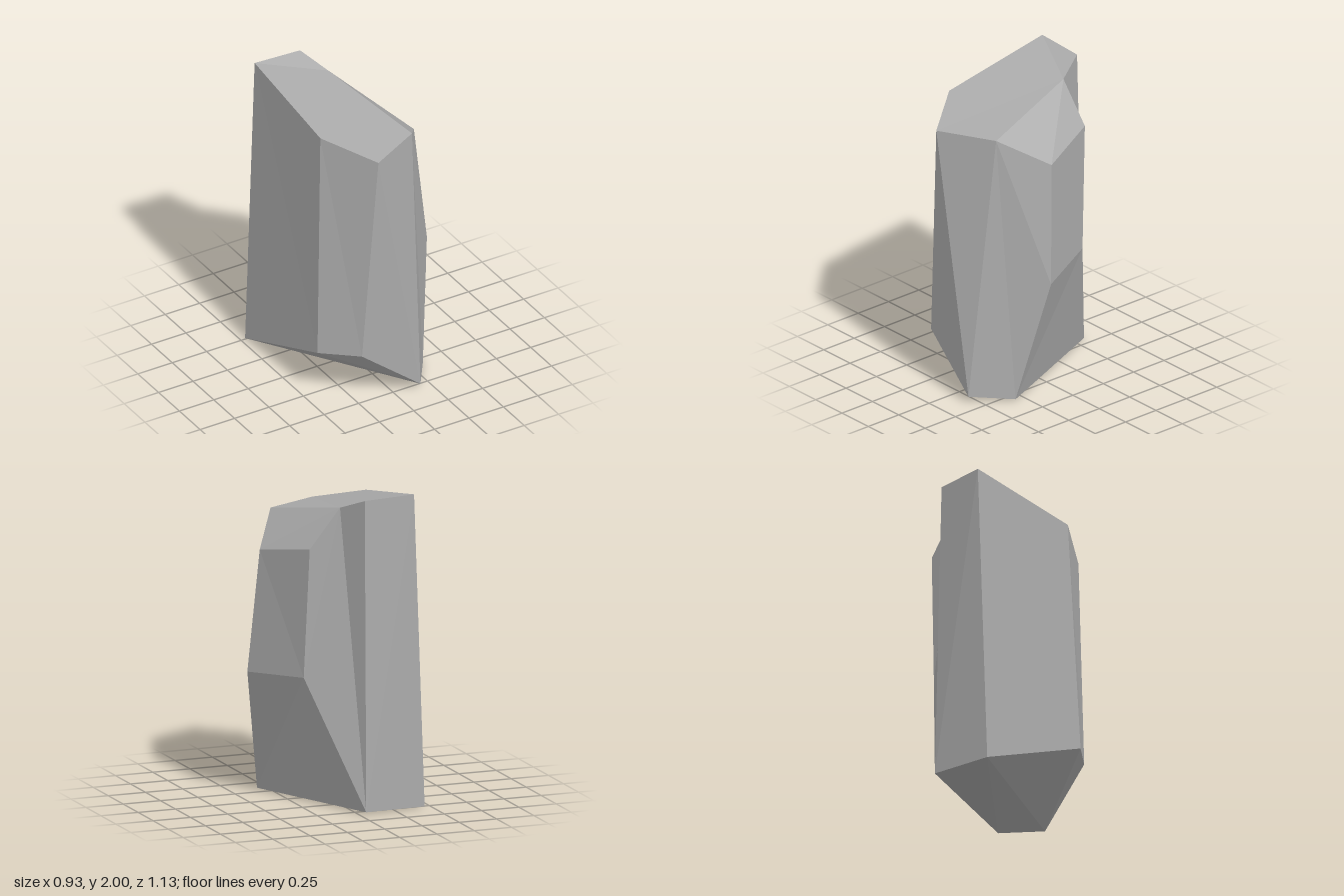
import * as THREE from 'three';

// Corner points of the standing stone
const P = {
  // crown
  a: [-0.39, 2.0, -0.52], b: [-0.06, 1.985, -0.52], c: [0.03, 1.91, -0.33],
  d: [0.21, 1.775, 0.38], e: [-0.145, 1.775, 0.565], f: [-0.38, 1.865, 0.255],
  // right shoulder and bulge
  g: [0.4, 1.585, 0.088], h: [0.233, 1.66, -0.33],
  i: [0.46, 0.8, 0.145], j: [0.257, 0.835, -0.29],
  // foot
  k: [0.325, 0.01, 0.32], l: [0.16, 0.045, 0.565],
  m: [-0.05, 0.01, -0.568], n: [-0.465, 0, -0.51],
  o: [-0.435, 0.33, 0.312], p: [-0.24, 0.355, 0.525],
};

// Facets as corner loops, each fanned from its first corner
const FACETS = {
  topFacet: ['cdefab'],
  shoulderFacet: ['cdgh'],
  frontFacets: ['edlp', 'fepo'],
  frontRightFacets: ['dgikl'],
  rightFacets: ['ghji', 'kmji'],
  backFacets: ['abmn', 'bcm', 'chjm'],
  leftFacet: ['afon'],
  undersideFacets: ['opln', 'nlkm'],
};

// Flat facets, every triangle turned to face away from the stone's core
function facetGeometry(loops) {
  const core = new THREE.Vector3(0, 1, 0);
  const positions = [];
  for (const loop of loops) {
    const pts = [...loop].map((key) => new THREE.Vector3(...P[key]));
    for (let s = 1; s < pts.length - 1; s++) {
      let [u, v, w] = [pts[0], pts[s], pts[s + 1]];
      const normal = v.clone().sub(u).cross(w.clone().sub(u));
      if (normal.dot(u.clone().sub(core)) < 0) [v, w] = [w, v];
      for (const q of [u, v, w]) positions.push(q.x, q.y, q.z);
    }
  }
  const geometry = new THREE.BufferGeometry();
  geometry.setAttribute('position', new THREE.Float32BufferAttribute(positions, 3));
  geometry.computeVertexNormals();
  return geometry;
}

export function createModel() {
  const stone = new THREE.MeshStandardMaterial({ color: 0xaaaaaa, flatShading: true });
  stone.name = 'grey stone';

  const group = new THREE.Group();
  group.name = 'standingStone';
  for (const [name, loops] of Object.entries(FACETS)) {
    const mesh = new THREE.Mesh(facetGeometry(loops), stone);
    mesh.name = name;
    group.add(mesh);
  }
  return group;
}
